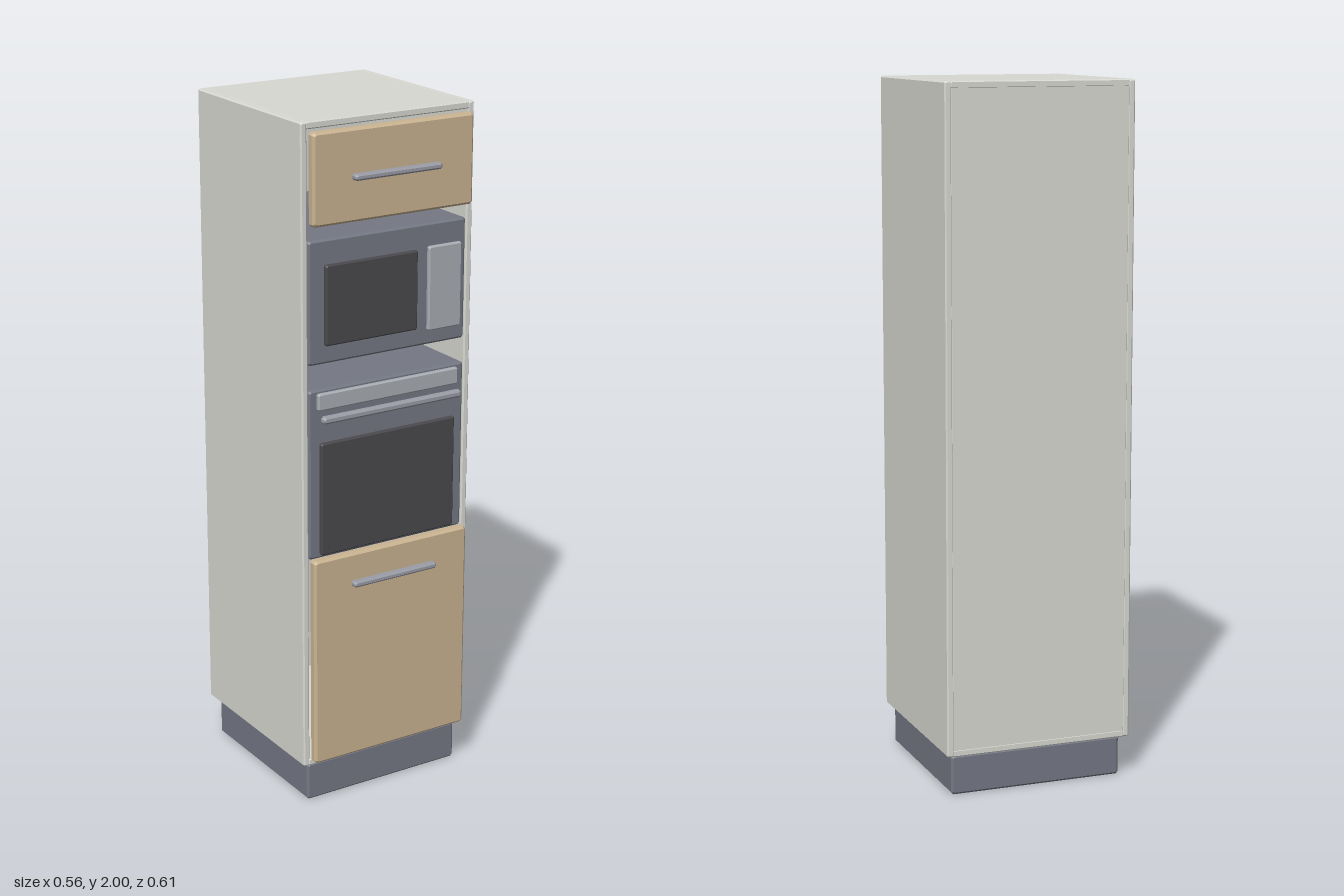
import * as THREE from 'three';

const mat = (color) => new THREE.MeshStandardMaterial({ color });

// Box with chamfered edges, given by its min and max on each axis
function chamferBox(name, [x0, x1], [y0, y1], [z0, z1], bevel, material) {
  const w = (x1 - x0) / 2 - bevel, h = (y1 - y0) / 2 - bevel, c = bevel * 0.5;
  const shape = new THREE.Shape([
    [w - c, -h], [w, -h + c], [w, h - c], [w - c, h],
    [-w + c, h], [-w, h - c], [-w, -h + c], [-w + c, -h],
  ].map(([x, y]) => new THREE.Vector2(x, y)));
  const geo = new THREE.ExtrudeGeometry(shape, {
    depth: z1 - z0 - 2 * bevel, bevelEnabled: true,
    bevelSize: bevel, bevelThickness: bevel, bevelSegments: 1,
  });
  const mesh = new THREE.Mesh(geo, material);
  mesh.name = name;
  mesh.position.set((x0 + x1) / 2, (y0 + y1) / 2, z0 + bevel);
  return mesh;
}

export function createModel() {
  const model = new THREE.Group();
  model.name = 'ovenCabinet';

  const body = mat(0xd8d8d2), wood = mat(0xc9b391), steel = mat(0x747884);
  const glass = mat(0x4a484c), trim = mat(0xa9adb3), bar = mat(0x9a9ca6);
  const part = (parent, ...args) => parent.add(chamferBox(...args));
  const group = (name) => {
    const g = new THREE.Group();
    g.name = name;
    model.add(g);
    return g;
  };

  // Plinth
  part(model, 'plinth', [-0.257, 0.257], [0, 0.115], [-0.28, 0.235], 0.006, steel);

  // Open-fronted carcass
  const carcass = group('carcass');
  for (const [name, s] of [['leftSide', 1], ['rightSide', -1]]) {
    const xs = [s * 0.258, s * 0.278].sort((a, b) => a - b);
    part(carcass, name, xs, [0.12, 2], [-0.305, 0.25], 0.004, body);
  }
  part(carcass, 'topPanel', [-0.262, 0.262], [1.98, 2], [-0.305, 0.25], 0.003, body);
  part(carcass, 'bottomPanel', [-0.262, 0.262], [0.12, 0.14], [-0.305, 0.25], 0.003, body);
  part(carcass, 'backPanel', [-0.262, 0.262], [0.125, 1.995], [-0.304, -0.284], 0.003, body);

  // Wooden fronts, each with a bar handle
  for (const [name, y0, y1, handleY] of [
    ['lowerDoor', 0.135, 0.765, 0.677],
    ['upperDoor', 1.72, 1.975, 1.846],
  ]) {
    const g = group(name);
    part(g, name + 'Panel', [-0.258, 0.258], [y0, y1], [0.25, 0.28], 0.007, wood);
    part(g, name + 'Handle', [-0.14, 0.14], [handleY - 0.009, handleY + 0.009], [0.28, 0.304], 0.005, bar);
  }

  // Oven
  const oven = group('oven');
  part(oven, 'ovenBody', [-0.257, 0.257], [0.76, 1.257], [-0.25, 0.25], 0.006, steel);
  part(oven, 'ovenWindow', [-0.223, 0.223], [0.77, 1.102], [0.24, 0.261], 0.004, glass);
  part(oven, 'ovenControls', [-0.232, 0.232], [1.198, 1.247], [0.24, 0.261], 0.004, trim);
  part(oven, 'ovenHandle', [-0.23, 0.23], [1.165, 1.187], [0.264, 0.285], 0.006, bar);

  // Microwave
  const microwave = group('microwave');
  part(microwave, 'microwaveBody', [-0.257, 0.257], [1.328, 1.677], [-0.25, 0.25], 0.006, steel);
  part(microwave, 'microwaveWindow', [-0.207, 0.092], [1.38, 1.607], [0.24, 0.261], 0.004, glass);
  part(microwave, 'microwaveControls', [0.128, 0.238], [1.37, 1.612], [0.24, 0.261], 0.004, trim);

  return model;
}
